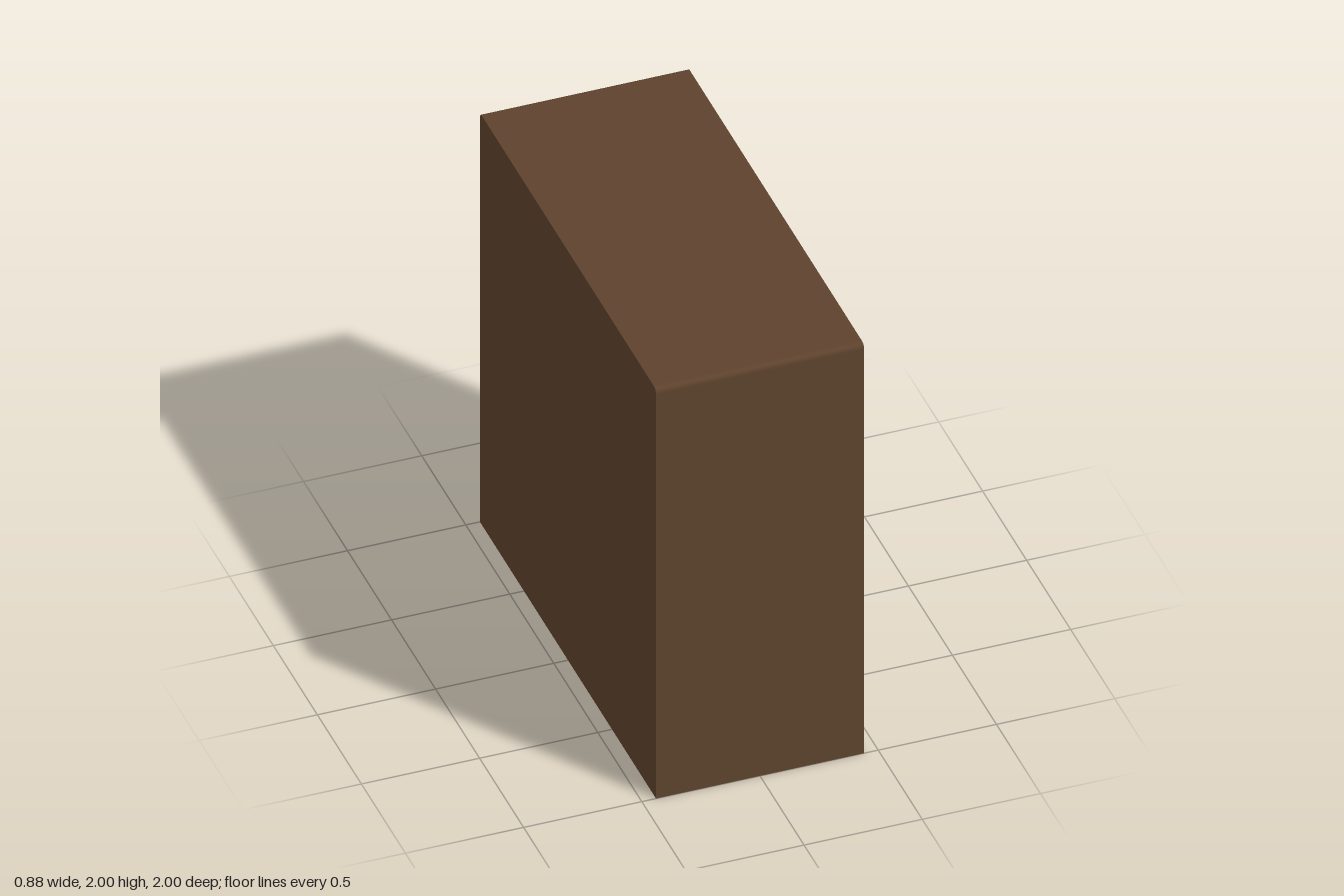
import * as THREE from 'three';

const paint = (color) => new THREE.MeshStandardMaterial({ color });

// Box given by its min/max extents on each axis
function slab(name, material, [x0, x1], [y0, y1], [z0, z1]) {
  const mesh = new THREE.Mesh(new THREE.BoxGeometry(x1 - x0, y1 - y0, z1 - z0), material);
  mesh.position.set((x0 + x1) / 2, (y0 + y1) / 2, (z0 + z1) / 2);
  mesh.name = name;
  return mesh;
}

const DEPTH = 0.44; // half depth of the case along x
const INNER = 0.84; // half width of the opening along z
const FLOOR = 0.165, CEILING = 1.84;
const BACK = -0.34; // inner face of the back

// Case outline with softly rounded top corners and a rectangular opening
function caseGeometry() {
  const r = 0.025;
  const shape = new THREE.Shape();
  shape.moveTo(-1, 0);
  shape.lineTo(1, 0);
  shape.lineTo(1, 2 - r);
  shape.quadraticCurveTo(1, 2, 1 - r, 2);
  shape.lineTo(-1 + r, 2);
  shape.quadraticCurveTo(-1, 2, -1, 2 - r);
  shape.closePath();

  const hole = new THREE.Path();
  hole.moveTo(-INNER, FLOOR);
  hole.lineTo(-INNER, CEILING);
  hole.lineTo(INNER, CEILING);
  hole.lineTo(INNER, FLOOR);
  hole.closePath();
  shape.holes.push(hole);

  const geometry = new THREE.ExtrudeGeometry(shape, {
    depth: 2 * DEPTH, bevelEnabled: false, curveSegments: 5,
  });
  geometry.translate(0, 0, -DEPTH);
  geometry.rotateY(Math.PI / 2);
  return geometry;
}

// Hardback: spine, two covers and a slightly recessed page block
function makeBook(cover, pages) {
  const book = new THREE.Group();
  book.name = 'book';
  const w = 0.0985, h = 0.47, front = 0.41, rear = -0.25, board = 0.035;
  book.add(
    slab('spine', cover, [front - 0.04, front], [0, h], [-w, w]),
    slab('leftCover', cover, [rear, front - 0.04], [0, h], [w - board, w]),
    slab('rightCover', cover, [rear, front - 0.04], [0, h], [-w, board - w]),
    slab('pages', pages, [rear + 0.02, front - 0.04], [0.01, h - 0.01], [board - w, w - board]),
  );
  return book;
}

export function createModel() {
  const model = new THREE.Group();
  model.name = 'bookcase';
  const wood = paint(0x5e432d);
  const pages = paint(0xe8dcc0);

  // Case, closed at the back and lined with a pale panel
  const frame = new THREE.Mesh(caseGeometry(), wood);
  frame.name = 'caseFrame';
  model.add(frame);
  model.add(slab('backBoard', wood, [-DEPTH, BACK - 0.02], [FLOOR, CEILING], [-INNER, INNER]));
  model.add(slab('backLining', paint(0x8f8c76), [BACK - 0.02, BACK], [FLOOR, CEILING], [-INNER, INNER]));

  // Two shelves
  for (const top of [0.72, 1.28]) {
    model.add(slab('shelf', wood, [BACK, DEPTH - 0.01], [top - 0.045, top], [-INNER, INNER]));
  }

  // A row of five books on each level
  const rows = [
    { name: 'greenBooks', color: 0x526a58, y: FLOOR, z: 0.295 },
    { name: 'blueBooks', color: 0x464868, y: 0.72, z: 0.745 },
    { name: 'purpleBooks', color: 0x76586f, y: 1.28, z: 0.495 },
  ];
  for (const { name, color, y, z } of rows) {
    const row = new THREE.Group();
    row.name = name;
    const cover = paint(color);
    for (let i = 0; i < 5; i++) {
      const book = makeBook(cover, pages);
      book.position.set(0, y, z - 0.1 - i * 0.2);
      row.add(book);
    }
    model.add(row);
  }
  return model;
}
